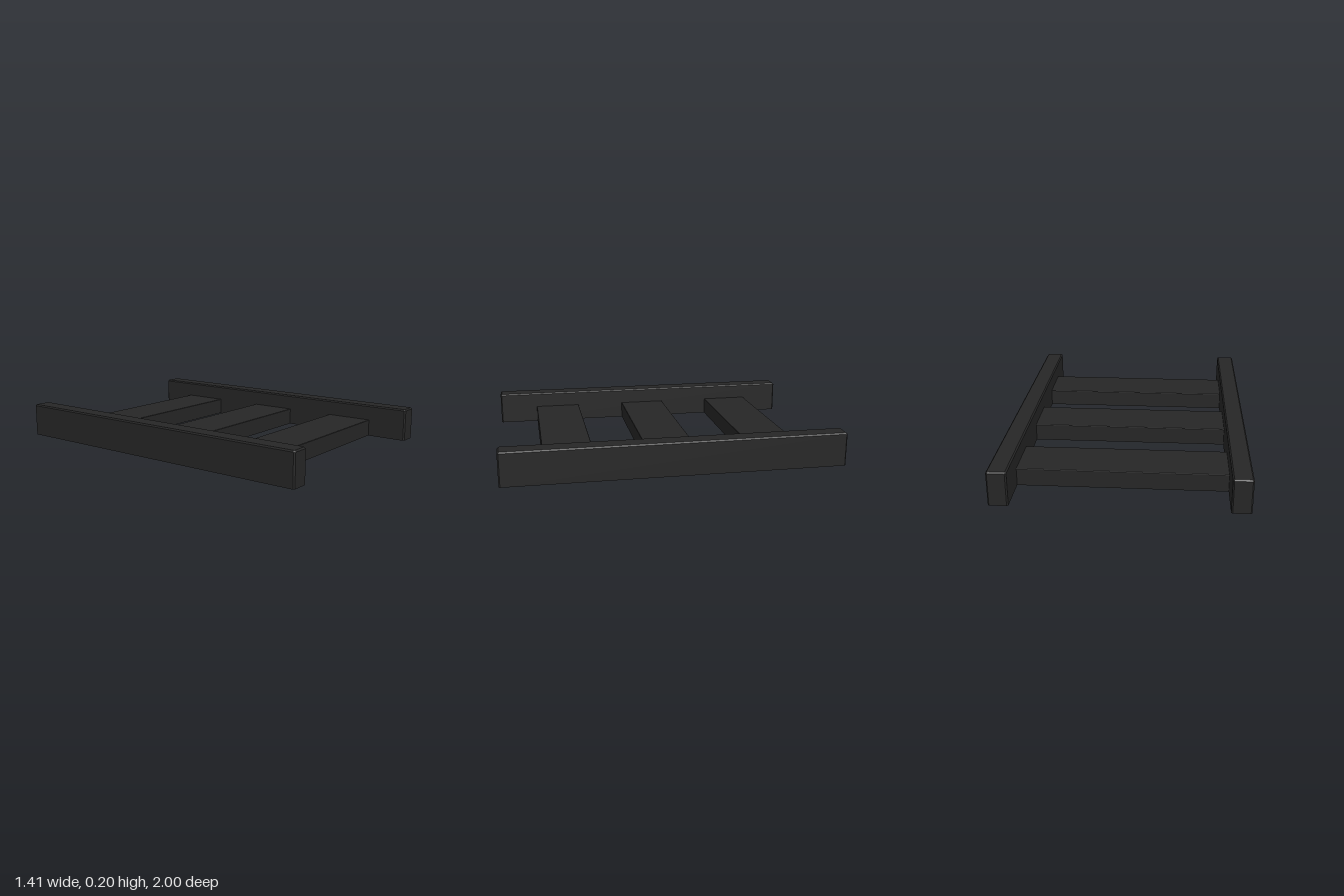
import * as THREE from 'three';

const material = new THREE.MeshStandardMaterial({
  color: 0x262626, flatShading: true, side: THREE.DoubleSide,
});

// Eight-point rectangle with cut corners, running around the y axis
function ring(w, d, y, inset, cut) {
  const x = w / 2 - inset, z = d / 2 - inset;
  return [
    [-x + cut, y, z], [x - cut, y, z], [x, y, z - cut], [x, y, -z + cut],
    [x - cut, y, -z], [-x + cut, y, -z], [-x, y, -z + cut], [-x, y, z - cut],
  ];
}

// Hollow beam: chamfered walls and top, open underneath
function openBeam(w, h, d, bevel) {
  const rings = [
    ring(w, d, 0, 0, bevel),
    ring(w, d, h - bevel, 0, bevel),
    ring(w, d, h, bevel, bevel / 2),
  ];
  const index = [];
  for (let r = 0; r < 2; r++) {
    for (let i = 0; i < 8; i++) {
      const a = r * 8 + i, b = r * 8 + (i + 1) % 8;
      index.push(a, b, b + 8, a, b + 8, a + 8);
    }
  }
  for (let i = 1; i < 7; i++) index.push(16, 16 + i, 17 + i);
  const indexed = new THREE.BufferGeometry();
  indexed.setAttribute('position', new THREE.Float32BufferAttribute(rings.flat(2), 3));
  indexed.setIndex(index);
  const geometry = indexed.toNonIndexed();
  geometry.computeVertexNormals();
  return geometry;
}

export function createModel() {
  const model = new THREE.Group();
  const add = (name, geometry, x, z) => {
    const mesh = new THREE.Mesh(geometry, material);
    mesh.name = name;
    mesh.position.set(x, 0, z);
    model.add(mesh);
  };

  // Two tall side rails
  const rail = openBeam(0.112, 0.2, 2, 0.008);
  add('leftRail', rail, 0.651, 0);
  add('rightRail', rail, -0.651, 0);

  // Three low slats whose ends run inside the rails
  const slat = openBeam(1.38, 0.104, 0.294, 0.002);
  [-0.615, 0, 0.605].forEach((z, i) => add(`slat${i + 1}`, slat, 0, z));

  return model;
}
